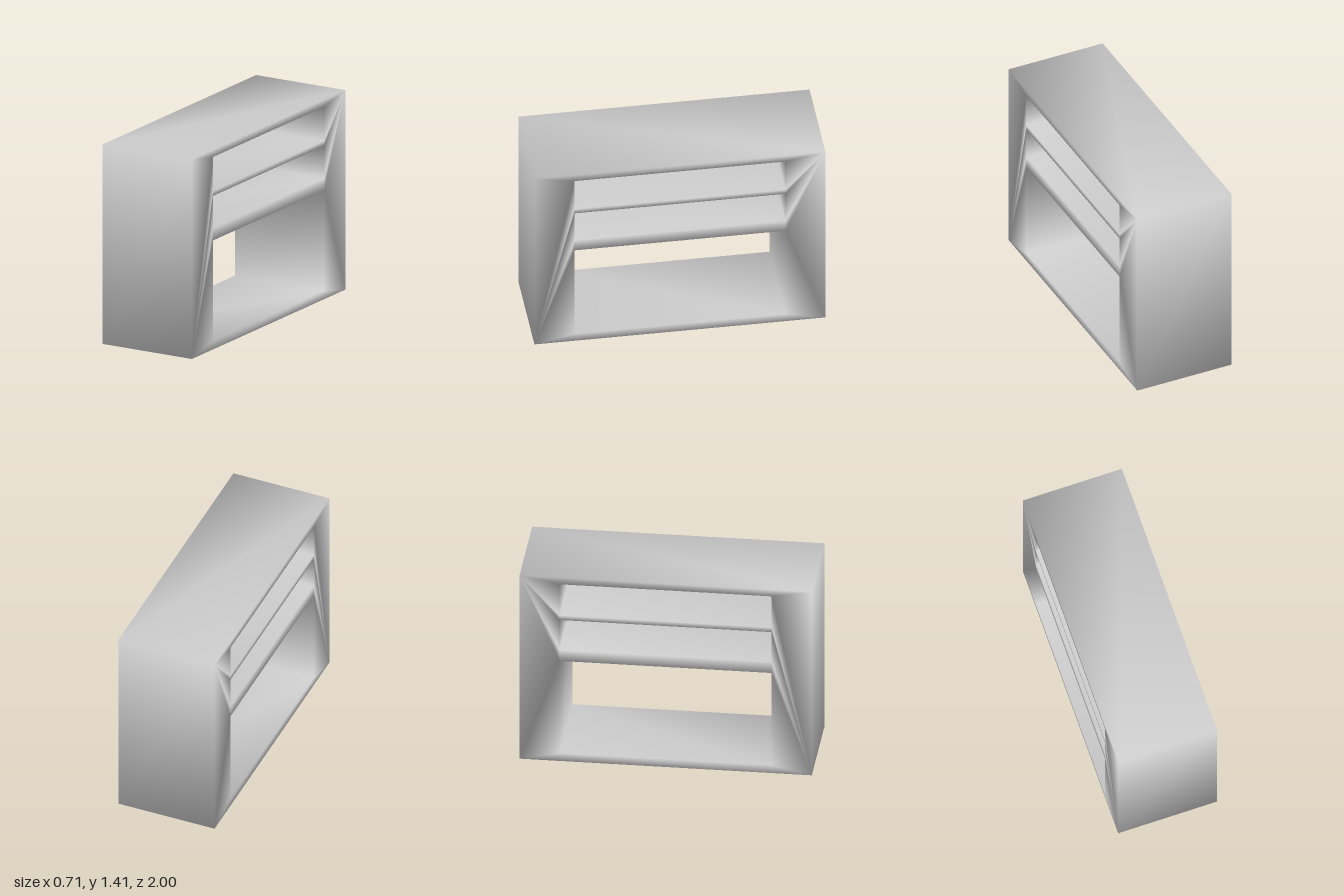
import * as THREE from 'three';
import { mergeVertices } from 'three/addons/utils/BufferGeometryUtils.js';

const WIDTH = 0.71, HEIGHT = 1.41, HALF_DEPTH = 1, HALF_OPENING = 0.725;

// Bottom and top of each opening: large bay, then two slots under the top
const OPENINGS = [[0.06, 0.77], [0.855, 1.085], [1.12, 1.36]];

// Rectangle outline centred on the vertical axis
function outline(path, half, bottom, top) {
  path.moveTo(-half, bottom);
  path.lineTo(half, bottom);
  path.lineTo(half, top);
  path.lineTo(-half, top);
  path.closePath();
  return path;
}

export function createModel() {
  const group = new THREE.Group();
  group.name = 'openCabinet';

  // Side profile with its openings, extruded across the width
  const profile = outline(new THREE.Shape(), HALF_DEPTH, 0, HEIGHT);
  for (const [bottom, top] of OPENINGS) {
    profile.holes.push(outline(new THREE.Path(), HALF_OPENING, bottom, top));
  }
  let geometry = new THREE.ExtrudeGeometry(profile, { depth: WIDTH, bevelEnabled: false });
  geometry.translate(0, 0, -WIDTH / 2);
  geometry.rotateY(Math.PI / 2);

  // Weld the corners so the shading runs smoothly around every edge
  geometry.deleteAttribute('normal');
  geometry.deleteAttribute('uv');
  geometry.clearGroups();
  geometry = mergeVertices(geometry);
  geometry.computeVertexNormals();

  const frame = new THREE.Mesh(geometry, new THREE.MeshStandardMaterial({ color: 0xcccccc }));
  frame.name = 'cabinetFrame';
  group.add(frame);
  return group;
}
